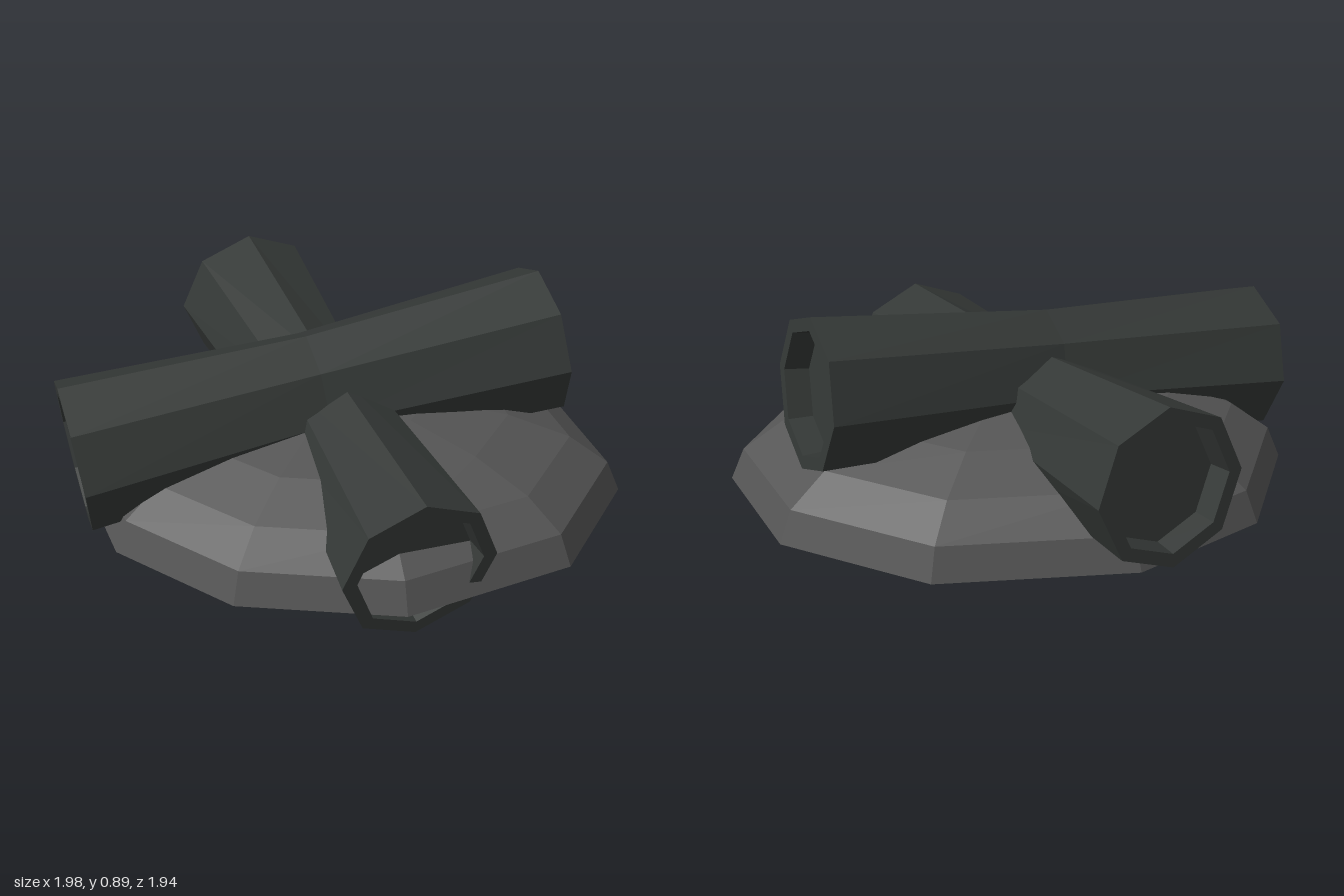
import * as THREE from 'three';

const barkMat = new THREE.MeshStandardMaterial({ color: 0x343836, flatShading: true });
const ashMat = new THREE.MeshStandardMaterial({ color: 0x555555, flatShading: true, side: THREE.DoubleSide });

// Eight-sided log between two end centres, with a waist and recessed ends
function makeLog(name, from, to, waistWidth) {
  const a = new THREE.Vector3(...from), b = new THREE.Vector3(...to);
  const h = a.distanceTo(b) / 2, r = 0.285, inner = 0.235, depth = 0.09, waist = 0.25;
  const profile = [
    [0, -h + depth], [inner - 0.01, -h + depth], [inner, -h], [r, -h],
    [waist, 0],
    [r, h], [inner, h], [inner - 0.01, h - depth], [0, h - depth],
  ].map(([x, y]) => new THREE.Vector2(x, y));
  const geo = new THREE.LatheGeometry(profile, 8).rotateX(Math.PI / 2);
  // narrow the waist sideways
  const pos = geo.attributes.position;
  for (let i = 0; i < pos.count; i++) {
    if (Math.abs(pos.getZ(i)) < 0.01) pos.setX(i, pos.getX(i) * waistWidth);
  }
  geo.computeVertexNormals();
  const log = new THREE.Mesh(geo, barkMat);
  log.name = name;
  log.position.copy(a).add(b).multiplyScalar(0.5);
  log.lookAt(b);
  return log;
}

// Open, uneven ten-sided dome of ash
function makeAshMound() {
  const rim = [
    [0.99, -0.19], [0.76, 0.42], [0.29, 0.79], [-0.24, 0.87], [-0.78, 0.62],
    [-0.95, 0.10], [-0.78, -0.42], [-0.24, -0.88], [0.35, -0.97], [0.83, -0.71],
  ];
  const n = rim.length, rings = 5, cx = 0.02, cz = -0.03, base = 0.14, height = 0.39;
  const points = [], index = [];
  for (let j = 0; j < rings; j++) {
    const t = (j / rings) * Math.PI / 2;
    for (const [x, z] of rim) {
      points.push(cx + (x - cx) * Math.cos(t), base + height * Math.sin(t), cz + (z - cz) * Math.cos(t));
    }
  }
  points.push(cx, base + height, cz);
  for (let j = 0; j < rings; j++) {
    for (let i = 0; i < n; i++) {
      const k = (i + 1) % n, a = j * n + i, b = j * n + k;
      if (j === rings - 1) index.push(a, rings * n, b);
      else index.push(a, a + n, b, b, a + n, b + n);
    }
  }
  const geo = new THREE.BufferGeometry();
  geo.setAttribute('position', new THREE.Float32BufferAttribute(points, 3));
  geo.setIndex(index);
  geo.computeVertexNormals();
  const mound = new THREE.Mesh(geo, ashMat);
  mound.name = 'ashMound';
  return mound;
}

export function createModel() {
  const group = new THREE.Group();
  group.name = 'campfire';
  group.add(makeAshMound());
  group.add(makeLog('upperLog', [-0.5, 0.42, 0.83], [0.39, 0.62, -0.75], 0.9));
  group.add(makeLog('lowerLog', [-0.87, 0.48, -0.4], [0.76, 0.3, 0.36], 0.82));
  return group;
}
